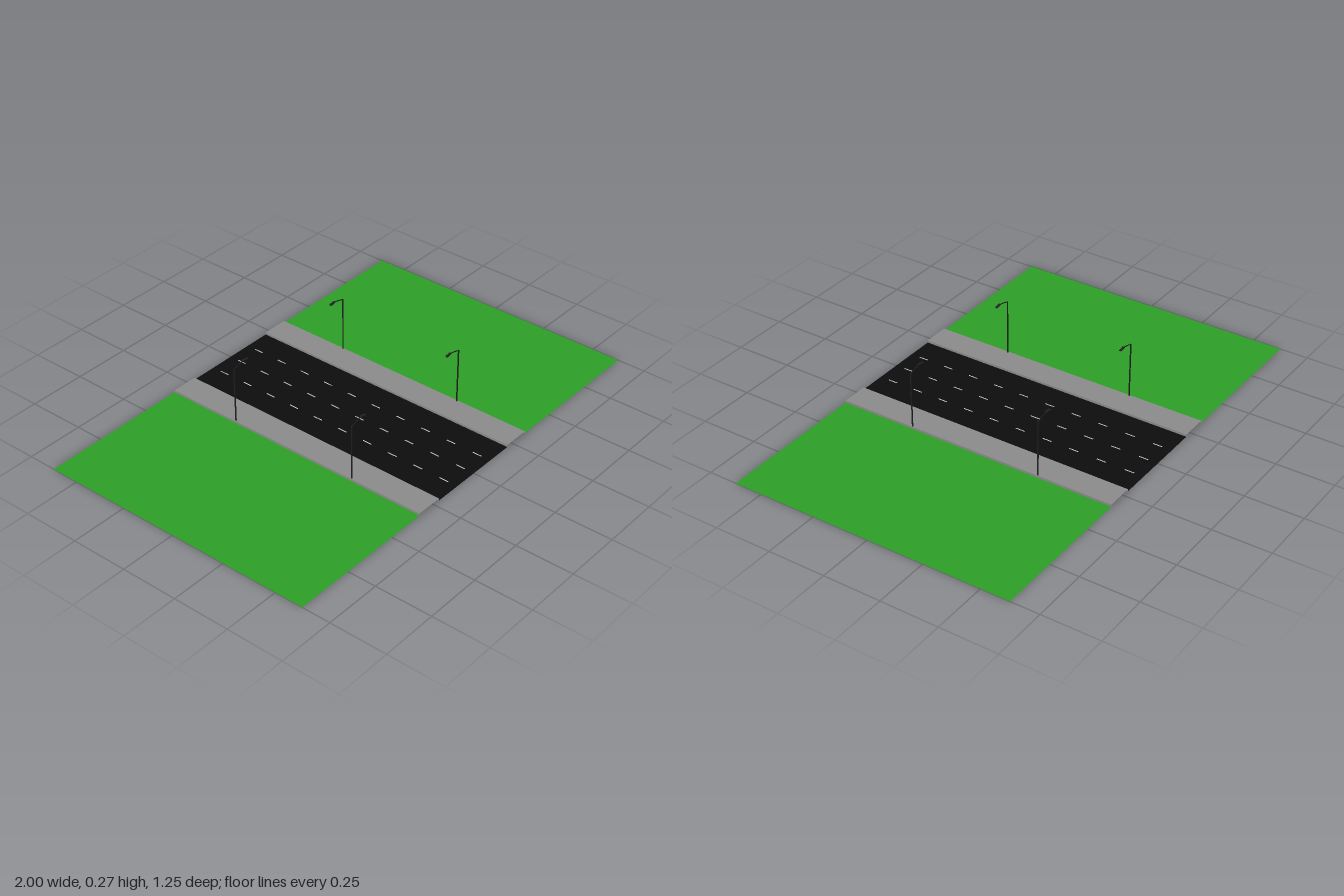
import * as THREE from 'three';

const LENGTH = 1.25, ROAD = 0.218, WALK = 0.335, CURB = 0.01;

const paint = (color, side = THREE.DoubleSide) => new THREE.MeshStandardMaterial({ color, side });
const grassMat = paint(0x2d9f28);
const walkMat = paint(0x8c8c8c);
const roadMat = paint(0x0d0d0d);
const lineMat = paint(0xffffff);
const lampMat = paint(0x222222);

function add(parent, name, geometry, material, x = 0, y = 0, z = 0) {
  const mesh = new THREE.Mesh(geometry, material);
  mesh.name = name;
  mesh.position.set(x, y, z);
  parent.add(mesh);
  return mesh;
}

// Horizontal sheet facing up
const sheet = (w, d) => new THREE.PlaneGeometry(w, d).rotateX(-Math.PI / 2);

// Street lamp whose arm reaches toward -x
function createLamp() {
  const lamp = new THREE.Group();
  lamp.name = 'streetLamp';
  add(lamp, 'pole', new THREE.CylinderGeometry(0.003, 0.003, 0.253, 8), lampMat, 0, 0.1265, 0);
  const armPath = new THREE.CatmullRomCurve3([
    new THREE.Vector3(0, 0.252, 0),
    new THREE.Vector3(-0.03, 0.261, 0),
    new THREE.Vector3(-0.06, 0.267, 0),
  ]);
  add(lamp, 'arm', new THREE.TubeGeometry(armPath, 6, 0.002, 6), lampMat);
  const head = add(lamp, 'lampHead', new THREE.BoxGeometry(0.027, 0.004, 0.01), lampMat, -0.067, 0.265, 0);
  head.rotation.z = 0.15;
  return lamp;
}

export function createModel() {
  const model = new THREE.Group();
  model.name = 'streetSection';

  add(model, 'road', sheet(ROAD * 2, LENGTH), roadMat);

  // Three rows of lane dashes
  for (const x of [-0.105, 0, 0.105]) {
    for (let i = 0; i < 10; i++) {
      add(model, 'laneDash', sheet(0.005, 0.042), lineMat, x, 0.001, (i - 4.5) * LENGTH / 10);
    }
  }

  for (const s of [-1, 1]) {
    const side = s > 0 ? 'left' : 'right';
    add(model, side + 'Grass', sheet(1 - WALK, LENGTH), grassMat, s * (1 + WALK) / 2);

    // Raised pavement: top sheet and two curbs, open at the ends
    add(model, side + 'Pavement', sheet(WALK - ROAD, LENGTH), walkMat, s * (ROAD + WALK) / 2, CURB);
    for (const [x, dir] of [[ROAD, -s], [WALK, s]]) {
      const curb = new THREE.PlaneGeometry(LENGTH, CURB).rotateY(dir * Math.PI / 2);
      add(model, side + 'Curb', curb, walkMat, s * x, CURB / 2);
    }

    // Two lamps on each outer edge, arms over the road
    for (const z of [-0.295, 0.295]) {
      const lamp = createLamp();
      lamp.position.set(s * 0.33, 0, z);
      if (s < 0) lamp.rotation.y = Math.PI;
      model.add(lamp);
    }
  }
  return model;
}
